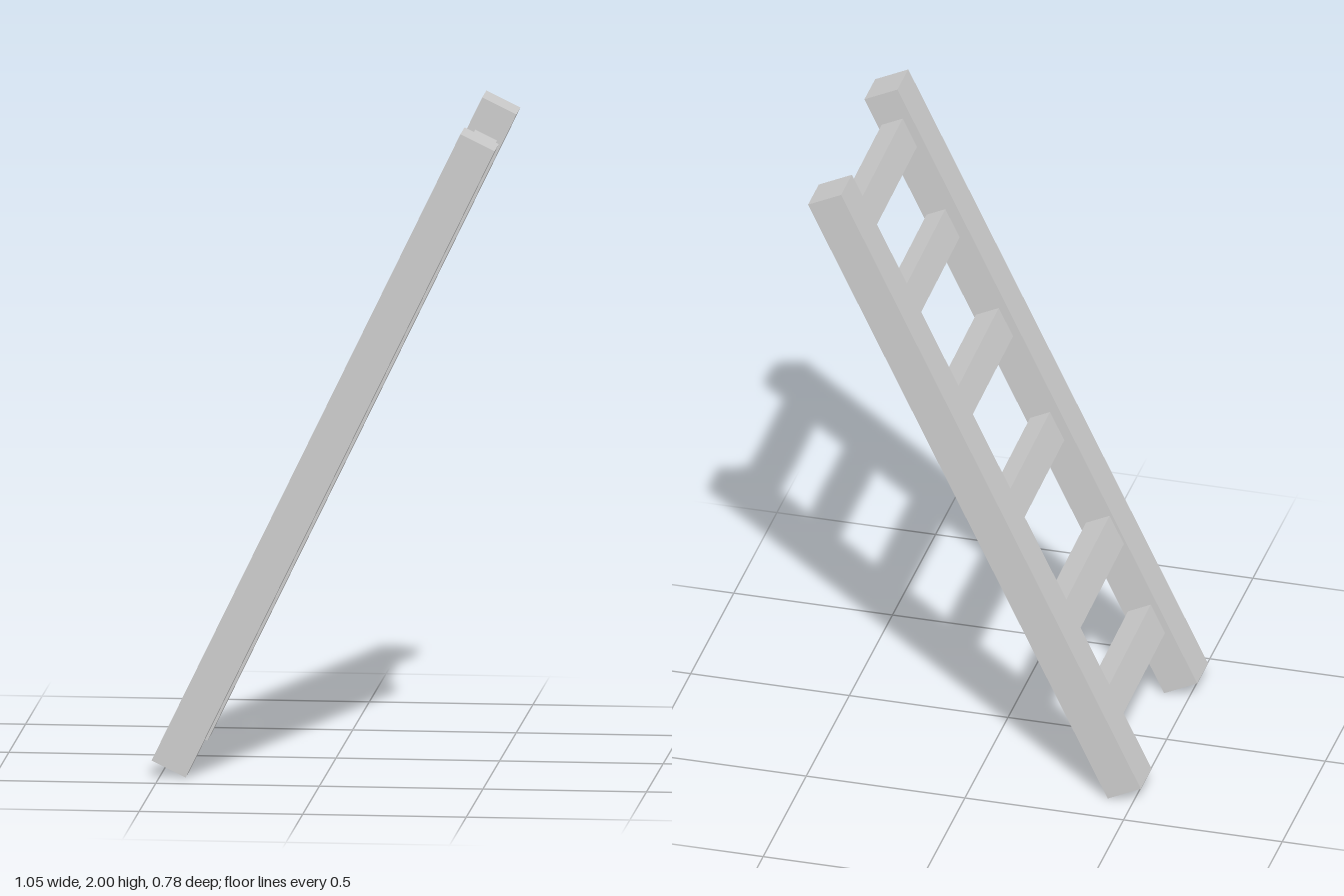
import * as THREE from 'three';

const TILT = 0.451; // lean of the ladder from vertical, towards +x

export function createModel() {
  const group = new THREE.Group();
  const material = new THREE.MeshStandardMaterial({ color: 0xcccccc, flatShading: true });

  function beam(name, size, position, yaw = 0) {
    const mesh = new THREE.Mesh(new THREE.BoxGeometry(...size), material);
    mesh.name = name;
    mesh.position.set(...position);
    mesh.rotation.set(0, yaw, -TILT, 'YXZ');
    group.add(mesh);
  }

  // Two square side rails
  for (const side of [1, -1]) {
    beam(side > 0 ? 'frontRail' : 'backRail', [0.116, 2.167, 0.125], [0, 1, side * 0.327]);
  }

  // Slightly uneven rungs: x, y, thickness
  const rungs = [
    [-0.367, 0.242, 0.08],
    [-0.236, 0.535, 0.083],
    [-0.054, 0.875, 0.07],
    [0.112, 1.215, 0.08],
    [0.274, 1.541, 0.066],
    [0.412, 1.838, 0.074],
  ];
  rungs.forEach(([x, y, thickness], i) => {
    beam(`rung${i + 1}`, [thickness, 0.103, 0.55], [x, y, 0], 0.009);
  });

  return group;
}
